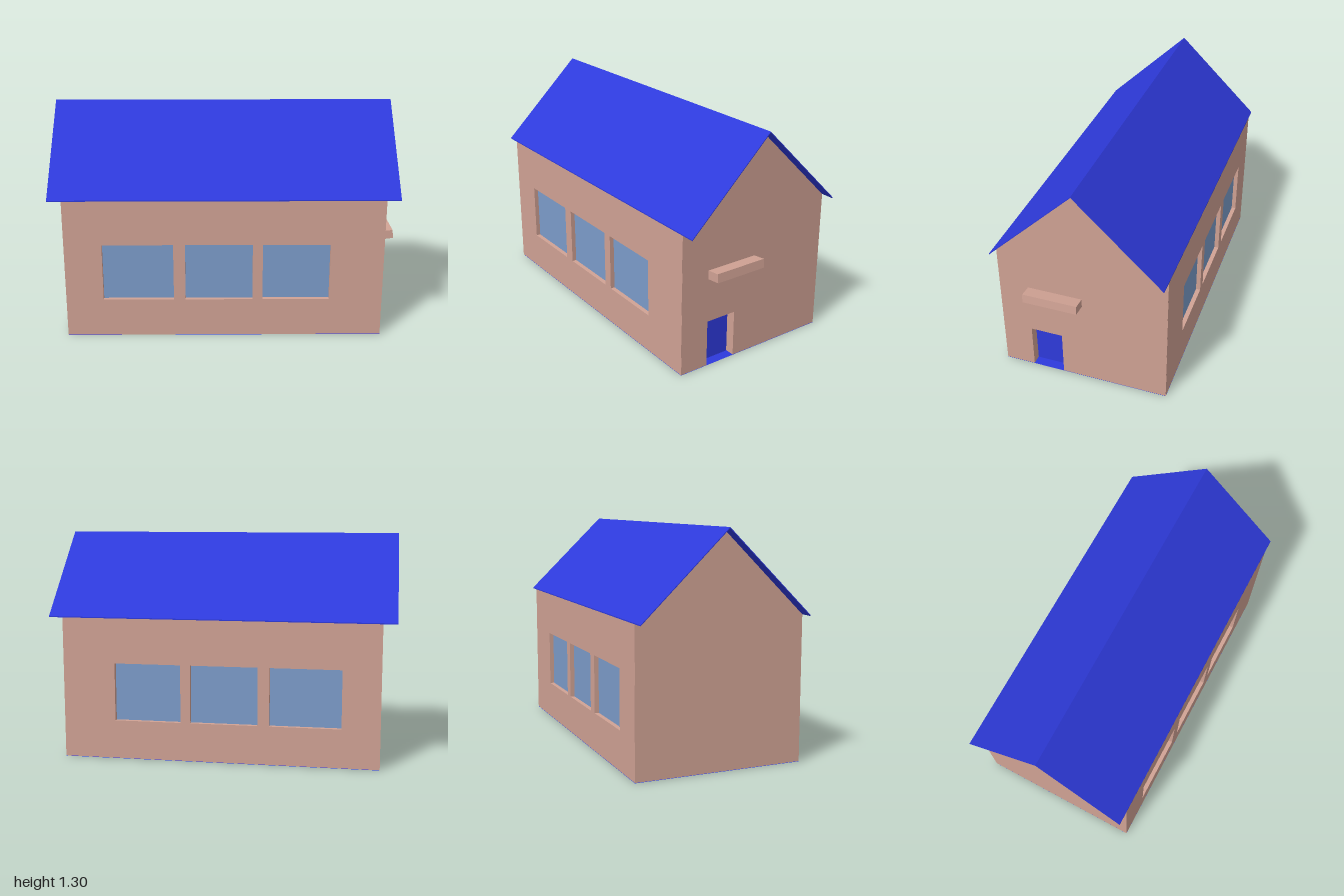
import * as THREE from 'three';

const WALL = new THREE.MeshStandardMaterial({ color: 0xd0a294 });
const BLUE = new THREE.MeshStandardMaterial({ color: 0x2e3adc });
const BLUE_SHEET = new THREE.MeshStandardMaterial({ color: 0x2e3adc, side: THREE.DoubleSide });
const GLASS = new THREE.MeshStandardMaterial({ color: 0x7c9cca });

const X0 = -0.92, X1 = 0.9, HALF = 0.487, EAVE = 0.826, RIDGE = 1.296, BASE = 0.002;
const SKIN = 0.006, LONG_DEPTH = 0.03, GABLE_DEPTH = 0.06;
const WINDOWS = [[-0.705, -0.3], [-0.233, 0.153], [0.21, 0.595]];
const SILL = 0.225, HEAD = 0.56;
const DOOR = { z0: 0.13, z1: 0.315, top: 0.272 };

const polygon = (points) => new THREE.Shape(points.map(([x, y]) => new THREE.Vector2(x, y)));
const rect = (x0, x1, y0, y1) => polygon([[x0, y0], [x1, y0], [x1, y1], [x0, y1]]);

export function createModel() {
  const group = new THREE.Group();
  const add = (name, geometry, material) => {
    const mesh = new THREE.Mesh(geometry, material);
    mesh.name = name;
    group.add(mesh);
    return mesh;
  };
  const extrude = (shape, depth) => new THREE.ExtrudeGeometry(shape, { depth, bevelEnabled: false });

  // Turns a z-y profile so that its extrusion runs from x towards -x
  const addAcross = (name, shape, x, depth, material) => {
    const mesh = add(name, extrude(shape, depth), material);
    mesh.rotation.y = -Math.PI / 2;
    mesh.position.x = x;
  };

  // Long walls with three recessed windows each
  for (const [side, z] of [['front', HALF - LONG_DEPTH], ['back', -HALF]]) {
    const shape = rect(X0 + 0.001, X1 - 0.001, BASE, EAVE - SKIN);
    for (const [a, b] of WINDOWS) {
      shape.holes.push(rect(a, b, SILL, HEAD));
      const pane = add(side + 'WindowPane', new THREE.BoxGeometry(b - a, HEAD - SILL, 0.004), GLASS);
      const inset = HALF - LONG_DEPTH + 0.002;
      pane.position.set((a + b) / 2, (SILL + HEAD) / 2, side === 'front' ? inset : -inset);
    }
    add(side + 'Wall', extrude(shape, LONG_DEPTH), WALL).position.z = z;
  }

  // Gable walls, the right one notched for the doorway
  const w = HALF - 0.001;
  const top = [[w, EAVE - SKIN], [0, RIDGE - SKIN], [-w, EAVE - SKIN]];
  const doorway = [[DOOR.z0, BASE], [DOOR.z0, DOOR.top], [DOOR.z1, DOOR.top], [DOOR.z1, BASE]];
  addAcross('leftGable', polygon([[-w, BASE], [w, BASE], ...top]), X0 + GABLE_DEPTH, GABLE_DEPTH, WALL);
  addAcross('rightGable', polygon([[-w, BASE], ...doorway, [w, BASE], ...top]), X1, GABLE_DEPTH, WALL);

  // Door set back in its opening
  const door = add('door', new THREE.BoxGeometry(0.004, DOOR.top, DOOR.z1 - DOOR.z0), BLUE);
  door.position.set(X1 - GABLE_DEPTH + 0.002, DOOR.top / 2, (DOOR.z0 + DOOR.z1) / 2);

  // Thin folded roof overhanging both gables
  addAcross('roof', polygon([
    [-HALF, EAVE - SKIN], [0, RIDGE - SKIN], [HALF, EAVE - SKIN],
    [HALF, EAVE], [0, RIDGE], [-HALF, EAVE],
  ]), 0.98, 1.98, BLUE);

  // Floor sheet
  const floor = add('floor', new THREE.PlaneGeometry(X1 - X0, HALF * 2), BLUE_SHEET);
  floor.rotation.x = Math.PI / 2;
  floor.position.x = (X0 + X1) / 2;

  // Blank sign board, tilted slightly upwards
  const sign = add('signBoard', new THREE.BoxGeometry(0.09, 0.05, 0.315), WALL);
  sign.rotation.z = 0.12;
  sign.position.set(0.933, 0.555, 0.1575);

  return group;
}
